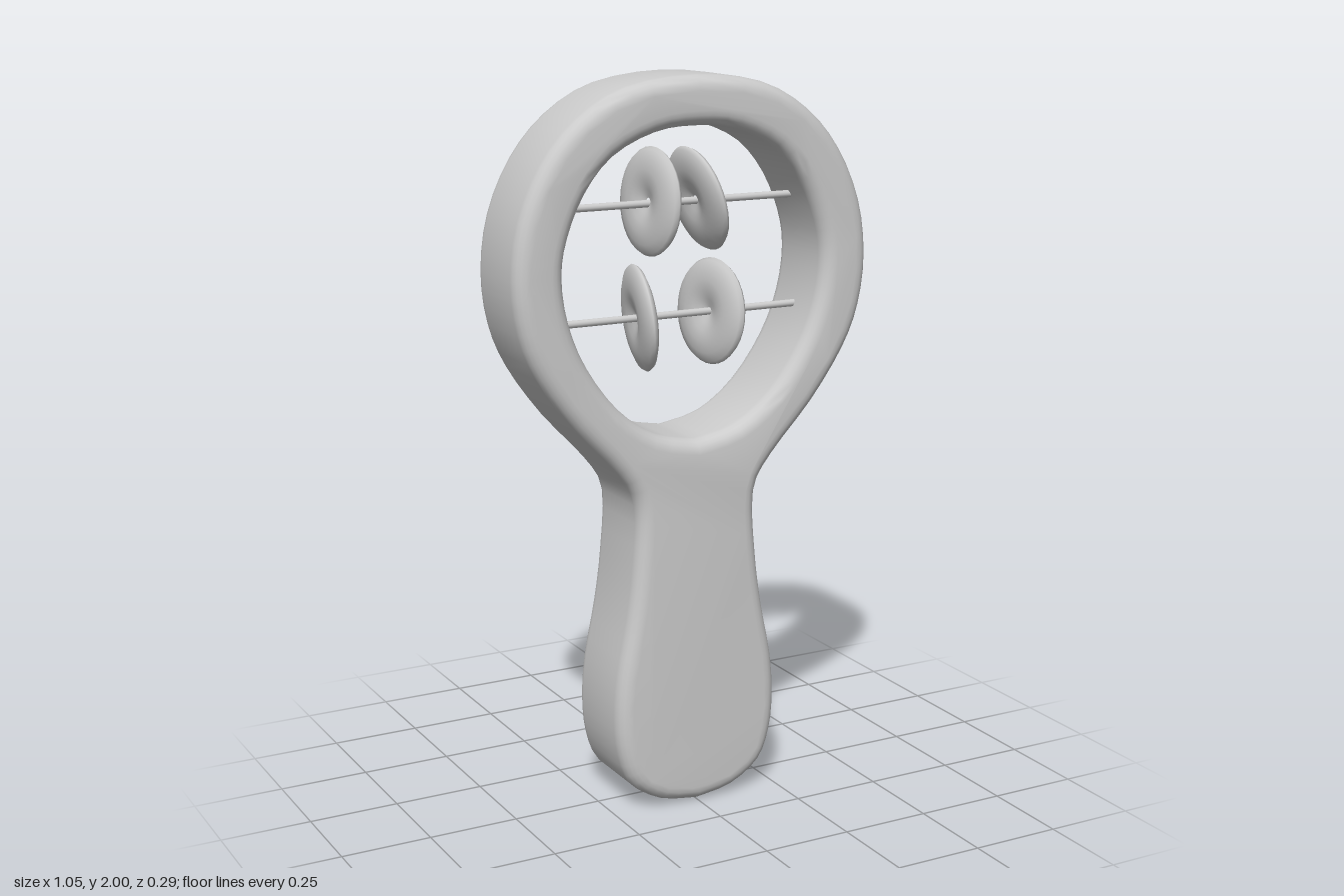
import * as THREE from 'three';
import { toCreasedNormals } from 'three/addons/utils/BufferGeometryUtils.js';

const grey = new THREE.MeshStandardMaterial({ color: 0xcccccc });

// Mirrors a right-hand half outline (bottom to top) and smooths it into a closed loop
function mirroredLoop(half, divisions) {
  const right = half.map(([x, y]) => new THREE.Vector2(x, y));
  const left = right.slice(0, -1).reverse().map((p) => new THREE.Vector2(-p.x, p.y));
  return new THREE.SplineCurve([...right, ...left]).getPoints(divisions).slice(0, -1);
}

function addMesh(parent, name, geometry) {
  const mesh = new THREE.Mesh(geometry, grey);
  mesh.name = name;
  parent.add(mesh);
  return mesh;
}

// Handle and ring in one piece, with rounded edges
function bodyGeometry() {
  const outline = [
    [0, 0], [0.11, 0.02], [0.2, 0.08], [0.237, 0.17], [0.247, 0.28], [0.237, 0.4],
    [0.207, 0.55], [0.187, 0.7], [0.181, 0.87], [0.235, 0.965], [0.36, 1.1],
    [0.46, 1.24], [0.51, 1.36], [0.527, 1.5], [0.505, 1.65], [0.44, 1.79],
    [0.34, 1.9], [0.2, 1.975], [0, 2],
  ];
  const opening = [
    [0, 1.035], [0.12, 1.062], [0.23, 1.14], [0.32, 1.26], [0.37, 1.38], [0.387, 1.5],
    [0.37, 1.6], [0.32, 1.71], [0.24, 1.8], [0.12, 1.855], [0, 1.868],
  ];
  const shape = new THREE.Shape(mirroredLoop(outline, 108));
  shape.holes.push(new THREE.Path(mirroredLoop(opening, 60)));
  const bevel = 0.04, halfDepth = 0.13;
  const geometry = new THREE.ExtrudeGeometry(shape, {
    depth: 2 * (halfDepth - bevel),
    bevelThickness: bevel,
    bevelSize: bevel,
    bevelOffset: -bevel,
    bevelSegments: 5,
  });
  geometry.translate(0, 0, bevel - halfDepth);
  // The body thins slightly towards the top
  const pos = geometry.attributes.position;
  for (let i = 0; i < pos.count; i++) {
    pos.setZ(i, pos.getZ(i) * (1.045 - 0.035 * pos.getY(i)));
  }
  return toCreasedNormals(geometry, 0.7);
}

// Round disc with a dimple around its centre
function discGeometry() {
  const upper = [
    [0.145, 0], [0.138, 0.01], [0.115, 0.019], [0.085, 0.024],
    [0.055, 0.021], [0.032, 0.013], [0.01, 0.006],
  ];
  const lower = upper.slice(1).reverse().map(([r, h]) => [r, -h]);
  const profile = [...lower, ...upper].map(([r, h]) => new THREE.Vector2(r, h));
  return new THREE.LatheGeometry(profile, 32);
}

export function createModel() {
  const model = new THREE.Group();
  model.name = 'rattle';
  addMesh(model, 'handleAndRing', bodyGeometry());

  // Two rods across the opening
  const rodGeometry = new THREE.CylinderGeometry(0.01, 0.01, 0.75, 12).rotateZ(Math.PI / 2);
  const upperY = 1.66, lowerY = 1.357;
  addMesh(model, 'upperRod', rodGeometry).position.y = upperY;
  addMesh(model, 'lowerRod', rodGeometry).position.y = lowerY;

  // Loose discs, each tilted a little: x drift per unit of height and of depth
  const disc = discGeometry();
  const up = new THREE.Vector3(0, 1, 0);
  const discs = [
    ['upperRightDisc', -0.08, upperY + 0.005, 0.06, 0.07],
    ['upperLeftDisc', 0.063, upperY + 0.005, -0.27, 0],
    ['lowerRightDisc', -0.113, lowerY, -0.1, -0.21],
    ['lowerLeftDisc', 0.104, lowerY, 0.07, 0.14],
  ];
  for (const [name, x, y, lean, turn] of discs) {
    const mesh = addMesh(model, name, disc);
    mesh.position.set(x, y, 0);
    mesh.quaternion.setFromUnitVectors(up, new THREE.Vector3(1, -lean, -turn).normalize());
  }
  return model;
}
